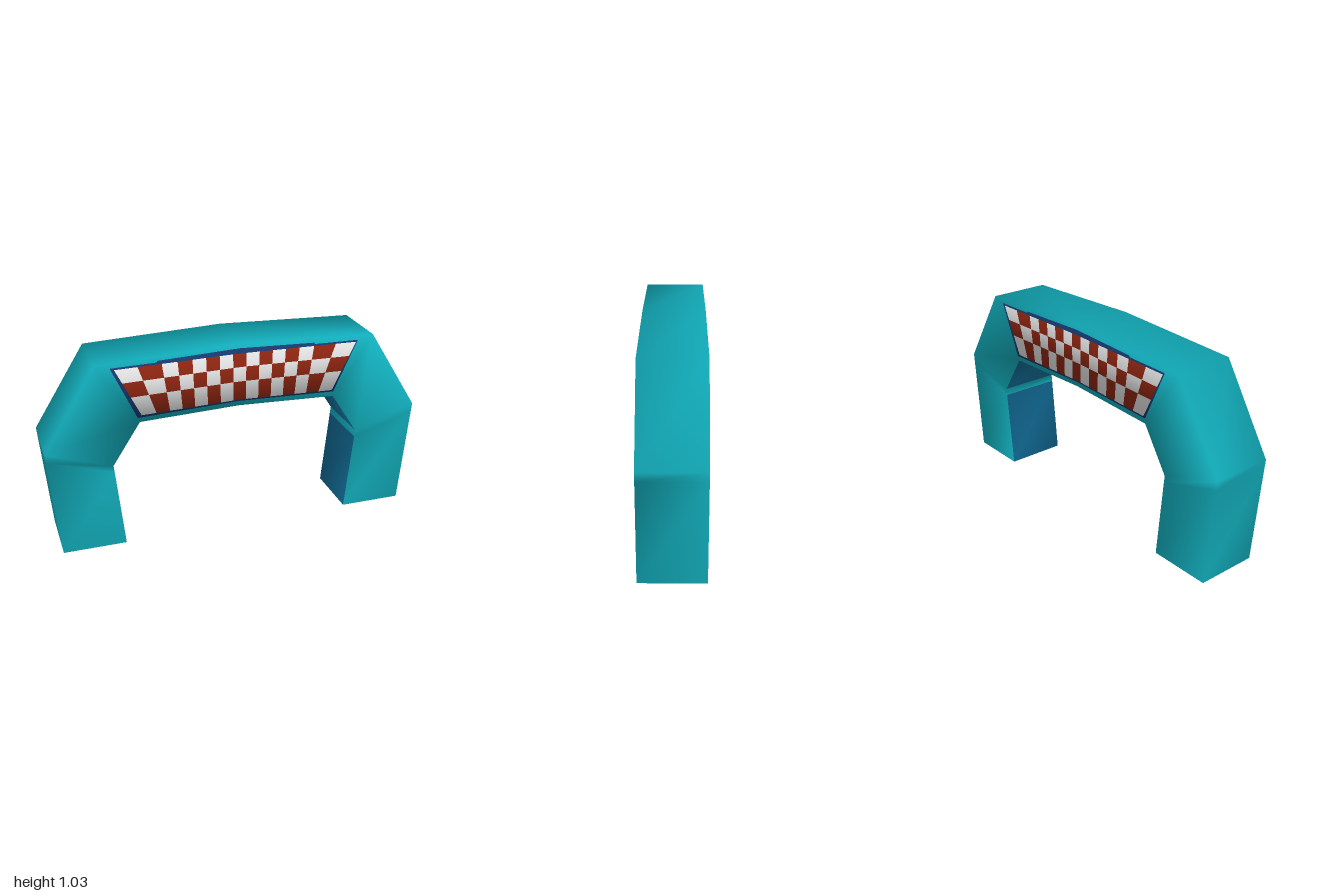
import * as THREE from 'three';

const mat = (name, color, side = THREE.FrontSide) => {
  const m = new THREE.MeshStandardMaterial({ color, side });
  m.name = name;
  return m;
};

// Square tube bent into an arch, smooth across its corners, open at the feet
function archGeometry(depth) {
  // outer x, outer y, inner x, inner y from the right foot to the middle
  const half = [
    [-0.95, 0, -0.62, 0],
    [-0.996, 0.529, -0.661, 0.423],
    [-1, 0.575, -0.665, 0.46],
    [-0.73, 1.005, -0.52, 0.683],
    [0, 1.033, 0, 0.702],
  ];
  const mirrored = half.slice(0, -1).reverse().map(([a, b, c, d]) => [-a, b, -c, d]);
  const rings = [...half, ...mirrored];
  const pos = [];
  for (const [ox, oy, ix, iy] of rings) {
    pos.push(ox, oy, depth, ix, iy, depth, ix, iy, -depth, ox, oy, -depth);
  }
  const shell = [], lining = [];
  const last = rings.length - 2;
  for (let i = 0; i <= last; i++) {
    for (let j = 0; j < 4; j++) {
      const a = i * 4 + j, b = i * 4 + (j + 1) % 4, c = b + 4, d = a + 4;
      const seam = i === 1 || i === last - 1;
      (j === 1 && !seam ? lining : shell).push(a, b, c, a, c, d);
    }
  }
  const g = new THREE.BufferGeometry();
  g.setAttribute('position', new THREE.Float32BufferAttribute(pos, 3));
  g.setIndex([...shell, ...lining]);
  g.addGroup(0, shell.length, 0);
  g.addGroup(shell.length, lining.length, 1);
  g.computeVertexNormals();
  return g;
}

// Flat quads (four [x, y] corners, anticlockwise) with normals rolling like the tube's
function quadsGeometry(quads, z) {
  const pos = [], nor = [], idx = [];
  quads.forEach((q, k) => {
    for (const [x, y] of q) {
      const n = new THREE.Vector3(0, (y - 0.86) * 4, 0.75).normalize();
      pos.push(x, y, z);
      nor.push(n.x, n.y, n.z);
    }
    const o = k * 4;
    idx.push(o, o + 1, o + 2, o, o + 2, o + 3);
  });
  const g = new THREE.BufferGeometry();
  g.setAttribute('position', new THREE.Float32BufferAttribute(pos, 3));
  g.setAttribute('normal', new THREE.Float32BufferAttribute(nor, 3));
  g.setIndex(idx);
  return g;
}

export function createModel() {
  const teal = mat('teal fabric', 0x11abb9, THREE.DoubleSide);
  const blue = mat('blue lining', 0x0f658e, THREE.DoubleSide);
  const navy = mat('navy border', 0x17386e);
  const red = mat('dark red checks', 0x8c2410);
  const white = mat('white checks', 0xe2e2e2);

  const model = new THREE.Group();
  model.name = 'inflatableArch';
  const depth = 0.163;

  const arch = new THREE.Mesh(archGeometry(depth), [teal, blue]);
  arch.name = 'archTube';
  model.add(arch);

  // Column edges of the checks along the top and bottom of the banner
  const topHalf = [0.035, 0.105, 0.175, 0.245, 0.32, 0.40, 0.52, 0.635];
  const lowHalf = [0.033, 0.10, 0.168, 0.235, 0.30, 0.365, 0.435, 0.51];
  const both = (h) => [...h.map((x) => -x).reverse(), ...h];
  const top = both(topHalf), low = both(lowHalf);
  const rowT = [0, 0.4, 0.71, 1];
  const point = (col, t) => {
    const x = low[col] + (top[col] - low[col]) * t;
    const y0 = 0.735 - 0.03 * Math.abs(low[col]);
    const y1 = 0.985 - 0.016 * Math.abs(top[col]);
    return [x, y0 + (y1 - y0) * t];
  };

  const redQuads = [], whiteQuads = [];
  for (let c = 0; c < top.length - 1; c++) {
    for (let r = 0; r < 3; r++) {
      const quad = [point(c, rowT[r]), point(c + 1, rowT[r]), point(c + 1, rowT[r + 1]), point(c, rowT[r + 1])];
      ((c + r) % 2 ? redQuads : whiteQuads).push(quad);
    }
  }

  // Border shows as a thin rim, higher along the middle of the top edge
  const navyQuads = [
    [[-0.53, 0.707], [0, 0.727], [0, 0.995], [-0.655, 0.984]],
    [[0, 0.727], [0.52, 0.71], [0.645, 0.984], [0, 0.995]],
    [[-0.44, 0.97], [0, 0.97], [0, 1.012], [-0.42, 0.996]],
    [[0, 0.97], [0.42, 0.97], [0.40, 0.996], [0, 1.012]],
  ];

  const layers = [
    ['bannerBorder', navyQuads, navy, 0.0018],
    ['redChecks', redQuads, red, 0.0035],
    ['whiteChecks', whiteQuads, white, 0.0035],
  ];
  for (const side of ['front', 'back']) {
    const banner = new THREE.Group();
    banner.name = side + 'Banner';
    for (const [name, quads, material, lift] of layers) {
      const mesh = new THREE.Mesh(quadsGeometry(quads, depth + lift), material);
      mesh.name = name;
      banner.add(mesh);
    }
    if (side === 'back') banner.rotation.y = Math.PI;
    model.add(banner);
  }
  return model;
}
